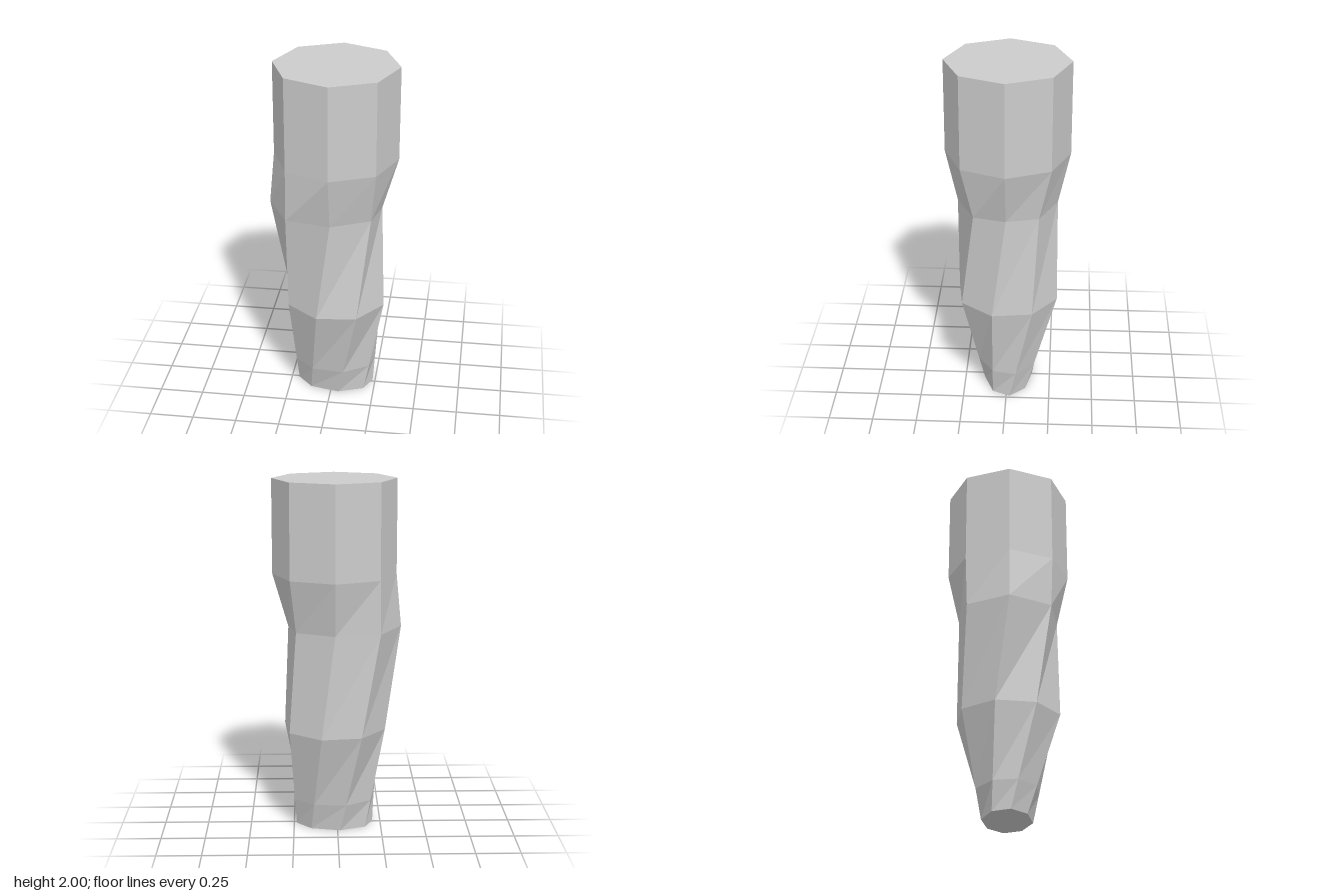
import * as THREE from 'three';

const SIDES = 8;
const CENTRE_X = 0.015;

// Regular ring, turned about the vertical axis; corners run from +x towards +z
function roundRing(y, radius, turn = 0) {
  return Array.from({ length: SIDES }, (_, i) => {
    const a = THREE.MathUtils.degToRad(turn) + (i * Math.PI * 2) / SIDES;
    return new THREE.Vector3(CENTRE_X + radius * Math.cos(a), y, radius * Math.sin(a));
  });
}

// Ring with front and back mirrored, from its five front corners
function mirroredRing(y, half) {
  const back = half.slice(1, -1).reverse().map(([x, z]) => [x, -z]);
  return [...half, ...back].map(([x, z]) => new THREE.Vector3(x, y, z));
}

// Ring with half-turn symmetry, from four corner offsets
function halfTurnRing(y, centreZ, half) {
  const all = [...half, ...half.map(([x, z]) => [-x, -z])];
  return all.map(([x, z]) => new THREE.Vector3(CENTRE_X + x, y, centreZ + z));
}

// Skin the rings from bottom to top and cap both ends
function loft(rings) {
  const points = [];
  for (let r = 0; r < rings.length - 1; r++) {
    const low = rings[r], high = rings[r + 1];
    for (let i = 0; i < SIDES; i++) {
      const j = (i + 1) % SIDES;
      points.push(low[i], high[i], low[j], high[i], high[j], low[j]);
    }
  }
  const bottom = rings[0], top = rings[rings.length - 1];
  for (let i = 1; i < SIDES - 1; i++) {
    points.push(bottom[0], bottom[i], bottom[i + 1]);
    points.push(top[0], top[i + 1], top[i]);
  }
  const geometry = new THREE.BufferGeometry().setFromPoints(points);
  geometry.computeVertexNormals();
  return geometry;
}

export function createModel() {
  const group = new THREE.Group();
  group.name = 'twistedColumn';

  // Narrow, flattened foot
  const foot = halfTurnRing(0, -0.005, [[0.175, 0.085], [0.03, 0.14], [-0.135, 0.105], [-0.22, 0.015]]);
  // Twisted lower bulge
  const bulge = roundRing(0.585, 0.295, 15);
  // Ankle, part of the way from foot to bulge
  const ankle = foot.map((p, i) => p.clone().lerp(bulge[i], 0.275));
  // Waist, pinched on one side and pushed out on the other
  const waist = mirroredRing(1.17, [[0.275, 0], [0.23, 0.18], [0.015, 0.28], [-0.235, 0.235], [-0.36, 0]]);
  // Straight upper drum
  const shoulder = roundRing(1.47, 0.347);
  const rim = roundRing(2, 0.347);

  const material = new THREE.MeshStandardMaterial({ color: 0xcccccc, flatShading: true });
  const body = new THREE.Mesh(loft([foot, ankle, bulge, waist, shoulder, rim]), material);
  body.name = 'columnBody';
  group.add(body);
  return group;
}
